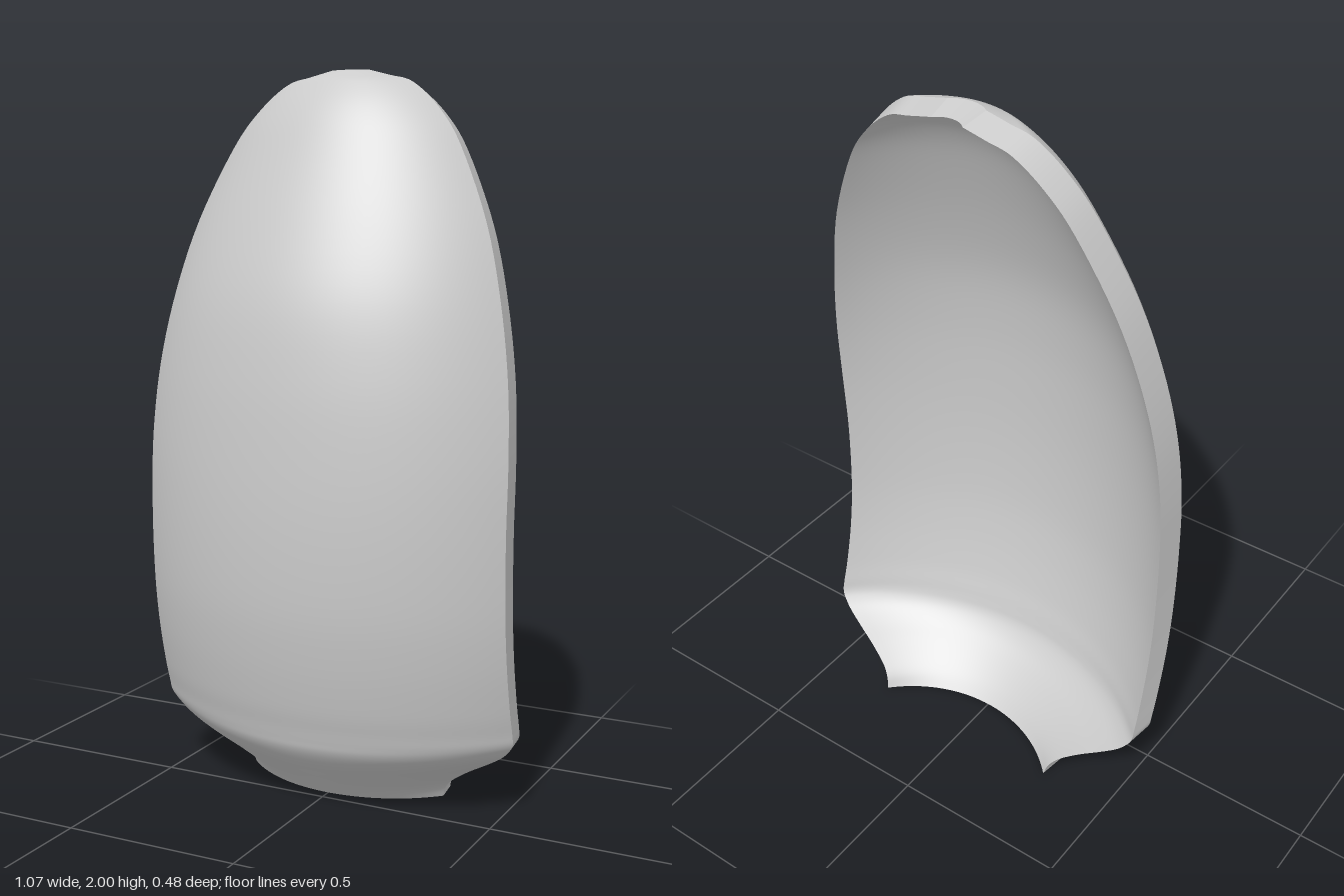
import * as THREE from 'three';

// Stations up the shell: height, half width, front z on the centre line, front z at the side edge
const stations = [
  [0, 0.30, -0.035, -0.16], [0.03, 0.31, -0.005, -0.148], [0.06, 0.335, 0.027, -0.133],
  [0.1, 0.39, 0.07, -0.115], [0.135, 0.448, 0.107, -0.099], [0.165, 0.494, 0.132, -0.086],
  [0.19, 0.52, 0.147, -0.077], [0.215, 0.535, 0.155, -0.069], [0.25, 0.537, 0.165, -0.059],
  [0.32, 0.537, 0.185, -0.037], [0.45, 0.537, 0.212, -0.007], [0.6, 0.537, 0.232, 0.012],
  [0.8, 0.537, 0.24, 0.018], [1.0, 0.536, 0.235, 0.008], [1.2, 0.522, 0.219, -0.015],
  [1.4, 0.487, 0.184, -0.046], [1.6, 0.43, 0.114, -0.085], [1.8, 0.338, 0.025, -0.126],
  [1.9, 0.265, -0.03, -0.146], [1.965, 0.187, -0.083, -0.159],
  [1.984, 0.12, -0.109, -0.163], [2.0, 0.055, -0.145, -0.165],
];
const curves = [1, 2, 3].map((k) =>
  new THREE.SplineCurve(stations.map((s) => new THREE.Vector2(s[k], s[0]))));

// Point on the shell: u runs -1..1 across, t runs 0..1 upward, d runs 0 (front) to 1 (back)
function shellPoint(u, t, d) {
  const [w, c, e] = curves.map((curve) => curve.getPoint(t).x);
  const y = curves[0].getPoint(t).y;
  const sag = c - e;
  const radius = (w * w + sag * sag) / (2 * sag);
  const x = u * w;
  const z = c - radius + Math.sqrt(radius * radius - x * x);
  const thickness = 0.075 + 0.011 * Math.sin(Math.PI * y / 2);
  return [x - 0.01 * u * d, y - 0.0075 * y * d, z - thickness * d];
}

// Smooth grid surface facing along a cross b
function sheet(name, material, na, nb, fn) {
  const positions = [];
  const index = [];
  for (let j = 0; j <= nb; j++) {
    for (let i = 0; i <= na; i++) {
      positions.push(...fn(i / na, j / nb));
      if (i < na && j < nb) {
        const p = j * (na + 1) + i;
        const q = p + na + 1;
        index.push(p, p + 1, q + 1, p, q + 1, q);
      }
    }
  }
  const geometry = new THREE.BufferGeometry();
  geometry.setAttribute('position', new THREE.Float32BufferAttribute(positions, 3));
  geometry.setIndex(index);
  geometry.computeVertexNormals();
  const mesh = new THREE.Mesh(geometry, material);
  mesh.name = name;
  return mesh;
}

export function createModel() {
  const group = new THREE.Group();
  group.name = 'curvedShell';
  const material = new THREE.MeshStandardMaterial({ color: 0xcccccc });
  const across = 48;
  const up = (stations.length - 1) * 5;

  // Bulging outer face and hollow inner face
  group.add(sheet('outerFace', material, across, up, (a, b) => shellPoint(2 * a - 1, b, 0)));
  group.add(sheet('innerFace', material, across, up, (a, b) => shellPoint(1 - 2 * a, b, 1)));

  // Rim walls joining the two faces
  group.add(sheet('leftRim', material, 1, up, (a, b) => shellPoint(1, b, a)));
  group.add(sheet('rightRim', material, 1, up, (a, b) => shellPoint(-1, b, 1 - a)));
  group.add(sheet('topRim', material, across, 1, (a, b) => shellPoint(2 * a - 1, 1, b)));
  group.add(sheet('bottomRim', material, across, 1, (a, b) => shellPoint(2 * a - 1, 0, 1 - b)));
  return group;
}
